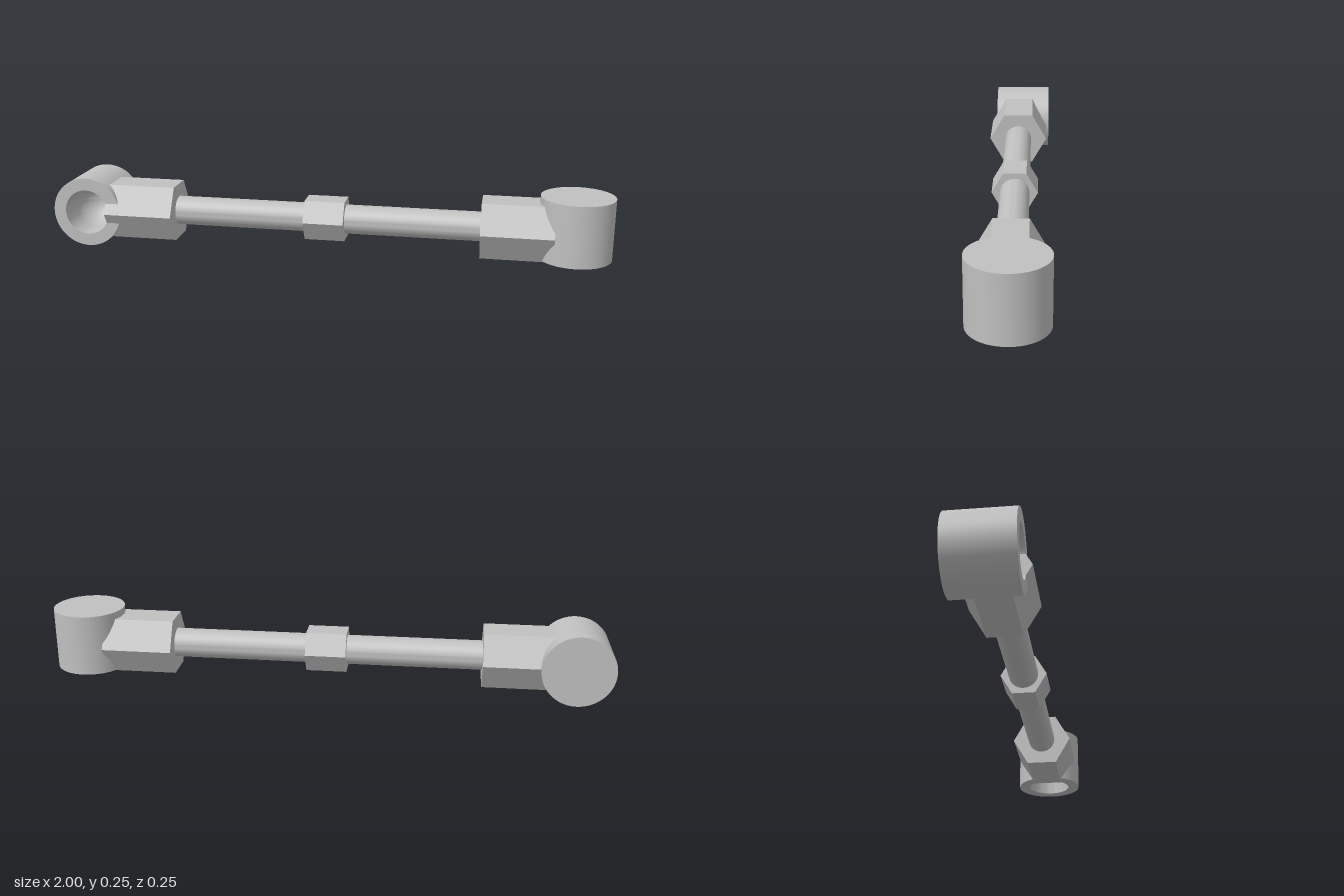
import * as THREE from 'three';
import { toCreasedNormals } from 'three/addons/utils/BufferGeometryUtils.js';

const AXIS_Y = 0.127;

export function createModel() {
  const group = new THREE.Group();
  const steel = new THREE.MeshStandardMaterial({ color: 0xc0c0c0 });
  steel.name = 'steelGrey';

  function add(name, geometry, x) {
    const mesh = new THREE.Mesh(toCreasedNormals(geometry, 0.5), steel);
    mesh.name = name;
    mesh.position.set(x, AXIS_Y, 0);
    group.add(mesh);
  }

  // Bar along x; six sides give a hex with corners at front and back
  const bar = (radius, length, sides) =>
    new THREE.CylinderGeometry(radius, radius, length, sides).rotateZ(Math.PI / 2);

  // Ball socket: closed cylinder with a round-bottomed bore open at +y
  function socket() {
    const outer = 0.1265, bore = 0.082;
    const profile = [
      new THREE.Vector2(0, -0.125),
      new THREE.Vector2(outer, -0.125),
      new THREE.Vector2(outer, 0.093),
      new THREE.Vector2(bore, 0.093),
    ];
    const steps = 12;
    for (let i = 0; i <= steps; i++) {
      const a = (i / steps) * Math.PI / 2;
      profile.push(new THREE.Vector2(i === steps ? 0 : bore * Math.cos(a), -bore * Math.sin(a)));
    }
    return new THREE.LatheGeometry(profile, 64);
  }

  // Centre rod and adjusting nut
  add('rod', bar(0.052, 1.12, 48), 0);
  add('centreNut', bar(0.082, 0.144, 6), 0);

  // Hex shanks joining the rod to the sockets
  for (const side of [-1, 1]) {
    add(side < 0 ? 'rightShank' : 'leftShank', bar(0.114, 0.25, 6), side * 0.675);
  }

  // Sockets, one opening forward and one downward
  add('rightSocket', socket().rotateX(Math.PI / 2), -0.8735);
  add('leftSocket', socket().rotateX(Math.PI), 0.8735);

  return group;
}
